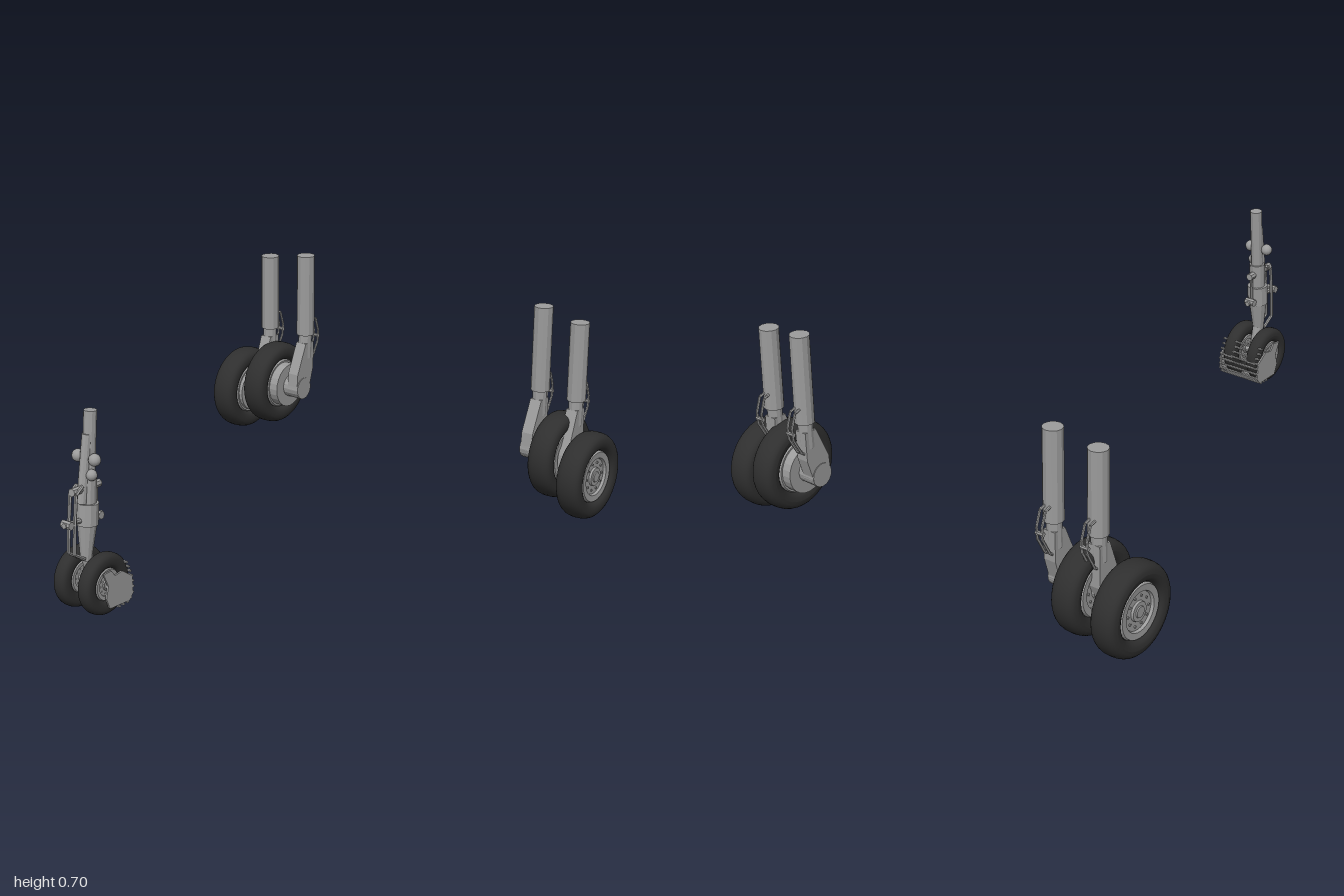
import * as THREE from 'three';

const metal = new THREE.MeshStandardMaterial({ color: 0x9c9c9c });
metal.name = 'grey metal';
const rubber = new THREE.MeshStandardMaterial({ color: 0x2f2f2f });
rubber.name = 'black rubber';
const V = (x, y, z) => new THREE.Vector3(x, y, z);

function add(parent, name, geometry, material = metal) {
  const mesh = new THREE.Mesh(geometry, material);
  mesh.name = name;
  parent.add(mesh);
  return mesh;
}

// Faceted cylinder between two points
function rod(parent, name, a, b, r1, r2 = r1, sides = 12) {
  const g = new THREE.CylinderGeometry(r2, r1, a.distanceTo(b), sides).toNonIndexed();
  g.computeVertexNormals();
  const m = add(parent, name, g);
  m.position.copy(a).lerp(b, 0.5);
  m.quaternion.setFromUnitVectors(V(0, 1, 0), b.clone().sub(a).normalize());
  return m;
}

// Plate outlined in x and y, with its thickness centred on z
function plate(parent, name, points, z, depth) {
  const shape = new THREE.Shape(points.map(([x, y]) => new THREE.Vector2(x, y)));
  const g = new THREE.ExtrudeGeometry(shape, { depth, bevelEnabled: false });
  g.translate(0, 0, z - depth / 2);
  return add(parent, name, g);
}

// Tyre and dished rim turning about the z axis
function wheel(parent, name, pos, r, width, rimR) {
  const group = new THREE.Group();
  group.name = name;
  group.position.copy(pos);
  parent.add(group);
  const h = width / 2, mid = (r + rimR) / 2, half = (r - rimR) / 2;
  const section = [];
  for (let i = 0; i <= 24; i++) {
    const a = -Math.PI / 2 + (i / 24) * Math.PI * 2;
    const c = Math.cos(a), s = Math.sin(a);
    section.push(new THREE.Vector2(
      mid + half * Math.sign(c) * Math.abs(c) ** 0.8, h * Math.sign(s) * Math.abs(s) ** 0.8));
  }
  add(group, 'tyre', new THREE.LatheGeometry(section, 40).rotateX(Math.PI / 2), rubber);
  const side = [[0, 0.8], [0.2, 0.8], [0.22, 0.72], [0.36, 0.72], [0.38, 0.55],
    [0.72, 0.55], [0.76, 0.75], [1, 0.78], [1.06, 0.5]];
  const pts = [...side.map(([a, b]) => [a, -b]), ...side.slice().reverse()];
  const rim = new THREE.LatheGeometry(
    pts.map(([a, b]) => new THREE.Vector2(a * rimR, b * h)), 32).toNonIndexed();
  rim.computeVertexNormals();
  add(group, 'rim', rim.rotateX(Math.PI / 2));
  // Wheel bolts on both faces
  for (const s of [-1, 1]) for (let i = 0; i < 10; i++) {
    const a = (i / 10) * Math.PI * 2;
    rod(group, 'bolt', V(Math.cos(a) * rimR * 0.56, Math.sin(a) * rimR * 0.56, s * h * 0.5),
      V(Math.cos(a) * rimR * 0.56, Math.sin(a) * rimR * 0.56, s * h * 0.64), rimR * 0.05, rimR * 0.05, 6);
  }
}

// One main leg; s is the side of the model along z
function mainLeg(root, s, { name, x, z, top, wx, wy, wz, brake }) {
  const g = new THREE.Group();
  g.name = name;
  root.add(g);
  const Z = z * s;
  rod(g, 'strutCylinder', V(x, 0.4, Z), V(x, top, Z), 0.033);
  rod(g, 'piston', V(x - 0.004, 0.31, Z), V(x, 0.43, Z), 0.025);

  // Trailing arm curling round the axle
  const outline = [[x + 0.022, 0.37], [x - 0.026, 0.37], [wx - 0.035, wy + 0.06]];
  for (let i = 0; i <= 10; i++) {
    const a = Math.PI * (0.9 + i * 0.115);
    outline.push([wx + 0.041 * Math.cos(a), wy + 0.041 * Math.sin(a)]);
  }
  outline.push([x + 0.02, wy + 0.07]);
  plate(g, 'trailingArm', outline, Z, 0.044);
  rod(g, 'axleBoss', V(wx, wy, Z - 0.025 * s), V(wx, wy, s * (z + 0.042)), 0.041, 0.041, 16);
  rod(g, 'axle', V(wx, wy, Z), V(wx, wy, s * wz), 0.025);
  rod(g, 'brakeDisc', V(wx, wy, s * brake[0]), V(wx, wy, s * brake[1]), 0.082, 0.082, 24);
  wheel(g, 'mainWheel', V(wx, wy, s * wz), 0.153, 0.092, 0.088);

  // Folding torque link behind the strut
  const link = [[0.015, 0.46], [0.05, 0.45], [0.066, 0.4], [0.063, 0.36], [0.03, 0.3], [0.012, 0.29]];
  for (const o of [-0.01, 0.01])
    for (let i = 0; i < link.length - 1; i++) {
      const [a, b] = [link[i], link[i + 1]];
      rod(g, 'torqueLink', V(x + a[0], a[1], Z + o), V(x + b[0], b[1], Z + o), 0.0045, 0.0045, 6);
    }
  rod(g, 'linkPin', V(x + 0.063, 0.38, Z - 0.015), V(x + 0.063, 0.38, Z + 0.015), 0.007, 0.007, 8);
}

function noseLeg(root) {
  const g = new THREE.Group();
  g.name = 'noseLeg';
  root.add(g);
  // Points along the leaning strut
  const at = (y, dx = 0, z = 0) => V(-0.925 + 0.08 * y + dx, y, z);
  rod(g, 'upperStrut', at(0.45), at(0.707), 0.021);
  rod(g, 'midStrut', at(0.36), at(0.5), 0.027);
  rod(g, 'frontActuator', at(0.42, -0.028), at(0.635, -0.012), 0.016);
  rod(g, 'collar', at(0.345), at(0.415), 0.036);
  rod(g, 'lowerStrut', at(0.23), at(0.35), 0.018, 0.032);
  rod(g, 'fork', V(-0.886, 0.157, 0), at(0.26), 0.018);
  rod(g, 'axle', V(-0.886, 0.157, -0.083), V(-0.886, 0.157, 0.083), 0.014);

  // Steering actuators, cross bar and clamp
  rod(g, 'steeringBar', V(-1, 0.37, 0), V(-0.83, 0.36, 0), 0.009, 0.009, 8);
  rod(g, 'steeringBarEnd', V(-0.985, 0.37, -0.018), V(-0.985, 0.37, 0.018), 0.013, 0.013, 8);
  rod(g, 'steeringBarEnd', V(-0.85, 0.362, -0.018), V(-0.85, 0.362, 0.018), 0.013, 0.013, 8);
  rod(g, 'clampBar', V(-0.962, 0.467, 0), V(-0.838, 0.462, 0), 0.013, 0.013, 8);
  rod(g, 'sideRod', V(-0.85, 0.47, 0), V(-0.86, 0.35, 0), 0.006, 0.006, 8);
  for (const [y, z, r] of [[0.56, 0.034, 0.02], [0.56, -0.034, 0.02], [0.51, 0.024, 0.018]]) {
    const ball = add(g, 'lamp', new THREE.SphereGeometry(r, 12, 8));
    ball.position.copy(at(y, -0.012, z));
    rod(g, 'lampBracket', at(y, -0.012, 0), at(y, -0.012, z), 0.008, 0.008, 8);
  }

  // Torque link in front of the strut
  const link = [[-0.925, 0.48], [-0.955, 0.46], [-0.965, 0.36], [-0.97, 0.27], [-0.925, 0.24]];
  for (const z of [-0.012, 0.012])
    for (let i = 0; i < link.length - 1; i++)
      rod(g, 'torqueLink', V(...link[i], z), V(...link[i + 1], z), 0.006, 0.006, 6);

  for (const s of [-1, 1]) {
    wheel(g, 'noseWheel', V(-0.886, 0.157, s * 0.05), 0.1, 0.052, 0.05);
    // Side plate of the slatted spray guard
    plate(g, 'guardSidePlate', [[-0.92, 0.205], [-0.885, 0.207], [-0.868, 0.185], [-0.835, 0.19],
      [-0.79, 0.158], [-0.787, 0.1], [-0.803, 0.08], [-0.895, 0.083], [-0.91, 0.12], [-0.9, 0.16]],
    s * 0.081, 0.006);
  }
  // Slats across the back of both wheels
  const path = new THREE.CatmullRomCurve3([V(-0.812, 0.21, 0), V(-0.79, 0.158, 0),
    V(-0.787, 0.105, 0), V(-0.805, 0.08, 0), V(-0.85, 0.075, 0)]);
  for (const p of path.getSpacedPoints(10)) {
    rod(g, 'guardSlat', V(p.x, p.y, -0.084), V(p.x, p.y, 0.084), 0.0045, 0.0045, 6);
  }
}

export function createModel() {
  const root = new THREE.Group();
  root.name = 'landingGear';
  noseLeg(root);
  for (const s of [1, -1]) {
    mainLeg(root, s, { name: 'innerMainLeg', x: 0.882, z: 0.514, top: 0.705,
      wx: 0.842, wy: 0.199, wz: 0.625, brake: [0.555, 0.6] });
    mainLeg(root, s, { name: 'outerMainLeg', x: 0.866, z: 0.669, top: 0.68,
      wx: 0.82, wy: 0.158, wz: 0.754, brake: [0.705, 0.73] });
  }
  return root;
}
